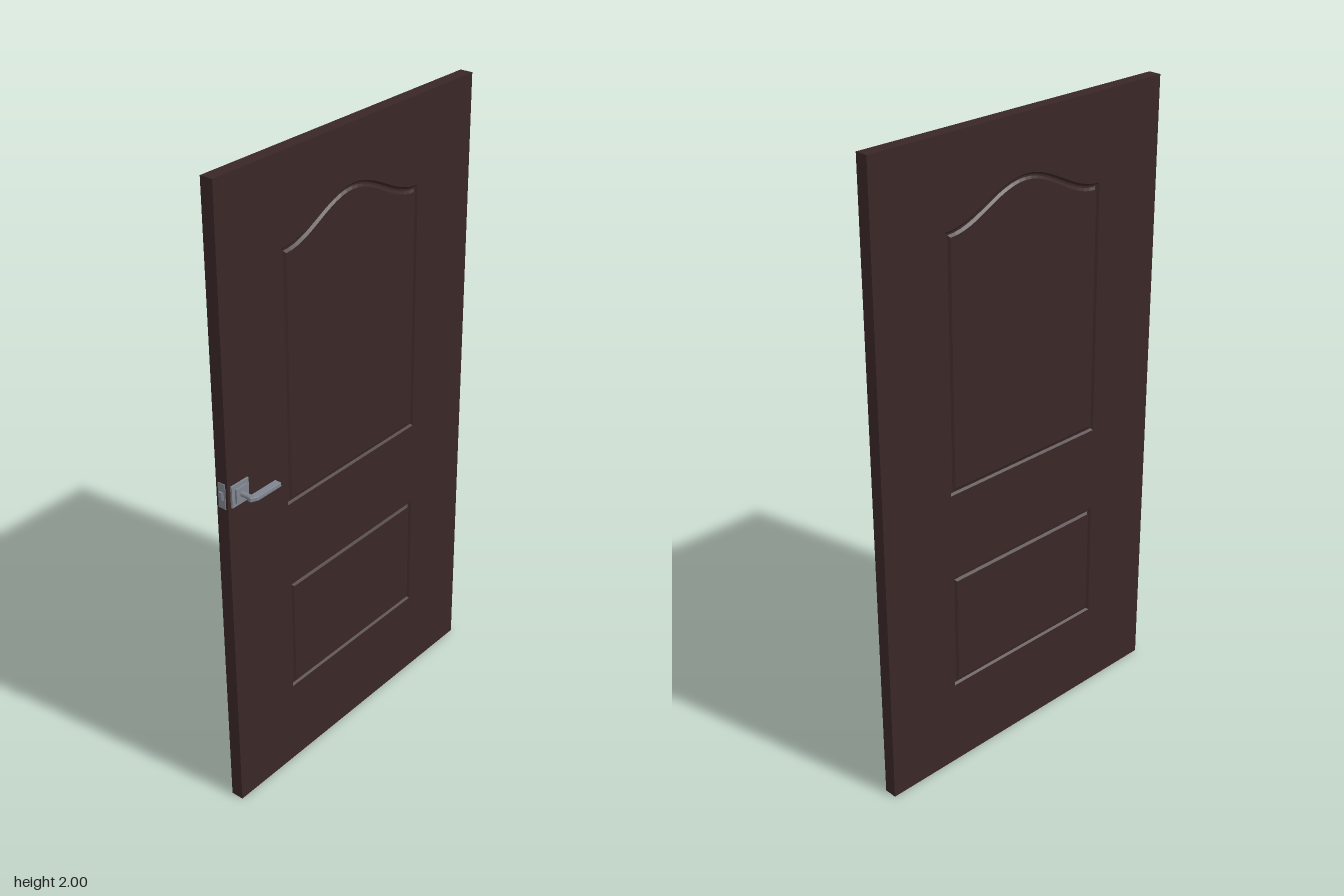
import * as THREE from 'three';

const FRONT = -0.01, BACK = -0.051, MID = (FRONT + BACK) / 2;
const LEFT = -0.54, RIGHT = 0.547;

// Counter-clockwise panel outline, with an optional ogee arch along the top
function outline(panel, inset) {
  const w = panel.w - inset, pts = [[-w, panel.y0 + inset], [w, panel.y0 + inset]];
  const n = panel.arch ? 24 : 1;
  for (let i = 0; i <= n; i++) {
    const t = 1 - (2 * i) / n;
    const rise = panel.arch * 0.5 * (1 + Math.cos(Math.PI * t));
    pts.push([w * t, panel.y1 - inset + rise]);
  }
  return pts.map(([x, y]) => new THREE.Vector2(x, y));
}

// Moulded groove: bands between successively inset outlines [inset, depth]
function grooveGeometry(panel, profile) {
  const pos = [];
  for (let k = 0; k < profile.length - 1; k++) {
    const [ia, da] = profile[k], [ib, db] = profile[k + 1];
    const a = outline(panel, ia), b = outline(panel, ib);
    for (let i = 0; i < a.length; i++) {
      const j = (i + 1) % a.length;
      const A = [a[i].x, a[i].y, -da], B = [a[j].x, a[j].y, -da];
      const C = [b[j].x, b[j].y, -db], D = [b[i].x, b[i].y, -db];
      pos.push(...A, ...B, ...C, ...A, ...C, ...D);
    }
  }
  const g = new THREE.BufferGeometry();
  g.setAttribute('position', new THREE.Float32BufferAttribute(pos, 3));
  g.computeVertexNormals();
  return g;
}

export function createModel() {
  const model = new THREE.Group();
  model.name = 'door';
  const wood = new THREE.MeshStandardMaterial({ color: 0x3a2727 });
  wood.name = 'dark brown wood';
  const metal = new THREE.MeshStandardMaterial({ color: 0x7f8590 });
  metal.name = 'grey metal';

  const add = (parent, name, geo, mat, x = 0, y = 0, z = 0) => {
    const m = new THREE.Mesh(geo, mat);
    m.name = name;
    m.position.set(x, y, z);
    parent.add(m);
    return m;
  };

  const panels = [
    { name: 'upperPanel', w: 0.295, y0: 0.943, y1: 1.735, arch: 0.093 },
    { name: 'lowerPanel', w: 0.295, y0: 0.283, y1: 0.667, arch: 0 },
  ];
  const profile = [[0, 0], [0.006, 0.006], [0.011, 0.006], [0.018, 0]];

  // Slab with an opening for each panel
  const slab = new THREE.Shape([
    new THREE.Vector2(LEFT, 0), new THREE.Vector2(RIGHT, 0),
    new THREE.Vector2(RIGHT, 2), new THREE.Vector2(LEFT, 2),
  ]);
  panels.forEach((p) => slab.holes.push(new THREE.Path(outline(p, 0))));
  const slabGeo = new THREE.ExtrudeGeometry(slab, { depth: FRONT - BACK, bevelEnabled: false });
  add(model, 'slab', slabGeo, wood, 0, 0, BACK);

  // Grooves and raised fields on both faces
  for (const p of panels) {
    const groove = grooveGeometry(p, profile);
    const field = new THREE.ShapeGeometry(new THREE.Shape(outline(p, 0.018)));
    for (const [side, z, turn] of [['Front', FRONT, 0], ['Back', BACK, Math.PI]]) {
      add(model, p.name + side + 'Groove', groove, wood, 0, 0, z).rotation.y = turn;
      add(model, p.name + side + 'Field', field, wood, 0, 0, z).rotation.y = turn;
    }
  }

  // Lever handle on the front
  const handle = new THREE.Group();
  handle.name = 'handle';
  handle.position.set(-0.495, 1.085, FRONT);
  model.add(handle);
  add(handle, 'rosette', new THREE.BoxGeometry(0.068, 0.068, 0.006), metal, 0, 0, 0.003);
  add(handle, 'rosetteStep', new THREE.BoxGeometry(0.044, 0.044, 0.006), metal, 0, 0, 0.009);
  const neck = new THREE.CylinderGeometry(0.008, 0.008, 0.042, 16).rotateX(Math.PI / 2);
  add(handle, 'neck', neck, metal, 0, 0, 0.029);

  // Lever with a chamfered elbow, seen in plan and extruded upwards
  const plan = new THREE.Shape();
  plan.moveTo(-0.008, 0.04);
  plan.lineTo(0.104, 0.04);
  plan.lineTo(0.104, 0.06);
  plan.lineTo(0.012, 0.06);
  plan.lineTo(-0.008, 0.05);
  plan.closePath();
  const lever = new THREE.ExtrudeGeometry(plan, {
    depth: 0.01, bevelThickness: 0.002, bevelSize: 0.001, bevelSegments: 1,
  });
  lever.rotateX(Math.PI / 2);
  add(handle, 'lever', lever, metal, 0, 0.003, 0);

  // Latch plate and wedge tongue on the opening edge
  add(model, 'latchPlate', new THREE.BoxGeometry(0.004, 0.08, 0.026), metal, LEFT, 1.088, MID);
  const wedge = new THREE.Shape([
    new THREE.Vector2(0, -0.01), new THREE.Vector2(0, 0.01),
    new THREE.Vector2(-0.007, 0.003), new THREE.Vector2(-0.007, -0.004),
  ]);
  const tongue = new THREE.ExtrudeGeometry(wedge, { depth: 0.026, bevelEnabled: false });
  tongue.rotateX(Math.PI / 2);
  add(model, 'latchTongue', tongue, metal, LEFT, 1.101, MID);

  return model;
}
